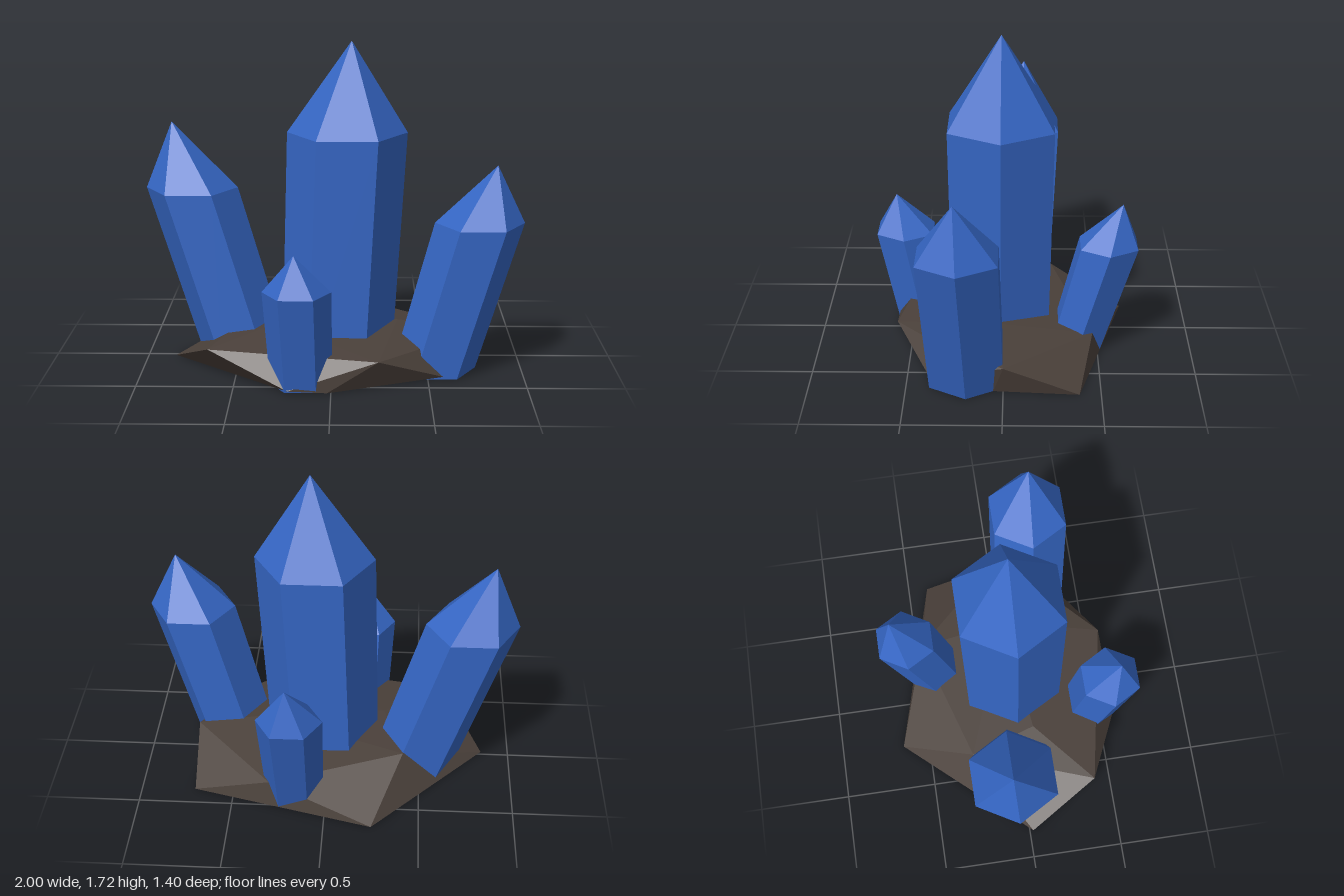
import * as THREE from 'three';
import { ConvexGeometry } from 'three/addons/geometries/ConvexGeometry.js';

const crystalMaterial = new THREE.MeshStandardMaterial({ color: 0x3566c4, flatShading: true });
const rockMaterial = new THREE.MeshStandardMaterial({ color: 0x4a403a, flatShading: true });

// Horizontal hexagon with two corners on the x axis
function hexRing([x, y, z], radius) {
  return Array.from({ length: 6 }, (_, i) => {
    const a = (i * Math.PI) / 3;
    return new THREE.Vector3(x + radius * Math.cos(a), y, z + radius * Math.sin(a));
  });
}

// Leaning six-sided shaft that widens slightly upward and ends in a point
function crystal(name, { base, baseRadius, shoulder, shoulderRadius, tip }) {
  const points = [
    ...hexRing(base, baseRadius),
    ...hexRing(shoulder, shoulderRadius),
    new THREE.Vector3(...tip),
  ];
  const mesh = new THREE.Mesh(new ConvexGeometry(points), crystalMaterial);
  mesh.name = name;
  return mesh;
}

const CRYSTALS = {
  centreCrystal: {
    base: [0.025, 0, 0.02], baseRadius: 0.297,
    shoulder: [0.078, 1.235, 0.017], shoulderRadius: 0.317, tip: [0.1, 1.715, 0.015],
  },
  rightCrystal: {
    base: [-0.47, 0, -0.04], baseRadius: 0.235,
    shoulder: [-0.755, 0.915, -0.085], shoulderRadius: 0.245, tip: [-0.86, 1.27, -0.1],
  },
  leftCrystal: {
    base: [0.54, 0, 0.19], baseRadius: 0.22,
    shoulder: [0.765, 0.8, 0.222], shoulderRadius: 0.232, tip: [0.85, 1.105, 0.238],
  },
  frontCrystal: {
    base: [-0.155, 0, 0.445], baseRadius: 0.16,
    shoulder: [-0.172, 0.52, 0.547], shoulderRadius: 0.175, tip: [-0.185, 0.72, 0.595],
  },
  backCrystal: {
    base: [0.17, 0, -0.38], baseRadius: 0.155,
    shoulder: [0.18, 0.6, -0.55], shoulderRadius: 0.173, tip: [0.195, 0.83, -0.62],
  },
};

// Rough slab: ground outline, upper rim and a slightly raised middle
const ROCK_GROUND = [
  [-0.85, 0, 0.02], [-0.25, 0, -0.65], [0.71, 0, -0.39], [0.68, 0, 0.05],
  [0.58, 0.015, 0.38], [-0.02, 0, 0.585], [-0.22, 0.01, 0.59],
];
const ROCK_RIM = [
  [-0.64, 0.165, 0.4], [0.24, 0.16, 0.57], [0.45, 0.16, 0.37],
  [0.73, 0.16, 0], [0.3, 0.13, -0.47], [-0.41, 0.19, -0.26],
];
const ROCK_MIDDLE = [[-0.3, 0.21, 0.1], [0.35, 0.21, 0.02]];

export function createModel() {
  const model = new THREE.Group();
  model.name = 'crystalCluster';

  const rockPoints = [...ROCK_GROUND, ...ROCK_RIM, ...ROCK_MIDDLE].map((p) => new THREE.Vector3(...p));
  const rock = new THREE.Mesh(new ConvexGeometry(rockPoints), rockMaterial);
  rock.name = 'rockBase';
  model.add(rock);

  for (const [name, spec] of Object.entries(CRYSTALS)) model.add(crystal(name, spec));
  return model;
}
